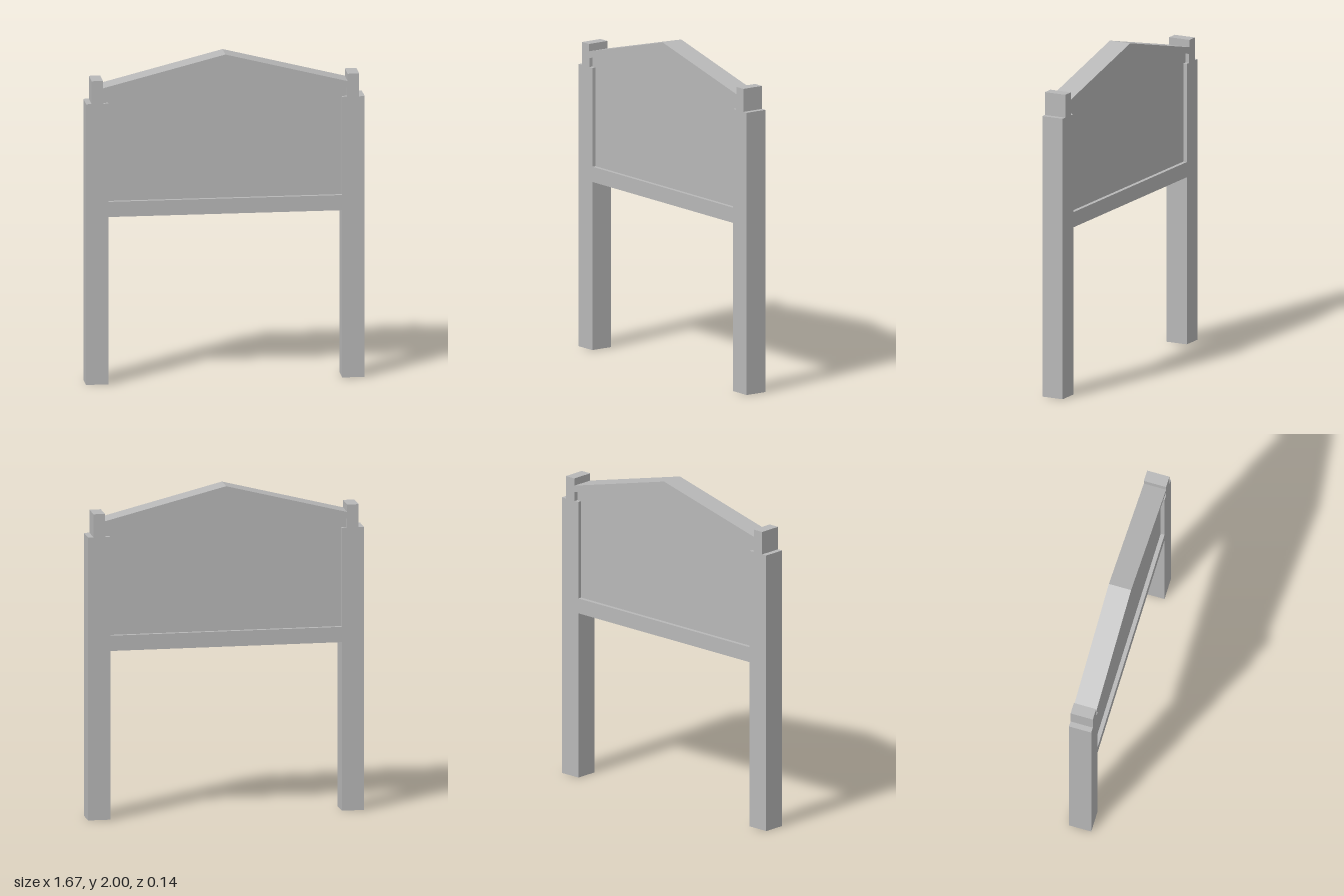
import * as THREE from 'three';

const DEPTH = 0.138;       // thickness of posts and rails
const PANEL_DEPTH = 0.09;  // board, recessed on both faces

// Closed shape from its right half, mirrored across x = 0
function mirroredShape(half, Type = THREE.Shape) {
  const left = half.filter(([x]) => x > 0).reverse().map(([x, y]) => [-x, y]);
  return new Type([...half, ...left].map(([x, y]) => new THREE.Vector2(x, y)));
}

function slab(name, shape, depth, material) {
  const geometry = new THREE.ExtrudeGeometry(shape, { depth, bevelEnabled: false });
  geometry.translate(0, 0, -depth / 2);
  const mesh = new THREE.Mesh(geometry, material);
  mesh.name = name;
  return mesh;
}

export function createModel() {
  const group = new THREE.Group();
  group.name = 'signBoard';
  const grey = new THREE.MeshStandardMaterial({ color: 0xb8b8b8 });
  grey.name = 'grey';

  // Posts with stepped tops, joined by a bottom rail and a gabled top rail
  const frame = mirroredShape([
    [0.7, 1.025], [0.7, 0], [0.835, 0], [0.835, 1.72], [0.802, 1.72],
    [0.802, 1.86], [0.733, 1.86], [0.733, 1.815], [0, 2],
  ]);

  // Opening inside the frame, notched where the posts meet the gable
  const opening = [[0.7, 1.118], [0.7, 1.72], [0.73, 1.72], [0.73, 1.775], [0, 1.958]];
  frame.holes.push(mirroredShape(opening, THREE.Path));

  group.add(slab('frame', frame, DEPTH, grey));

  // Recessed board filling the opening
  group.add(slab('panel', mirroredShape(opening), PANEL_DEPTH, grey));
  return group;
}
